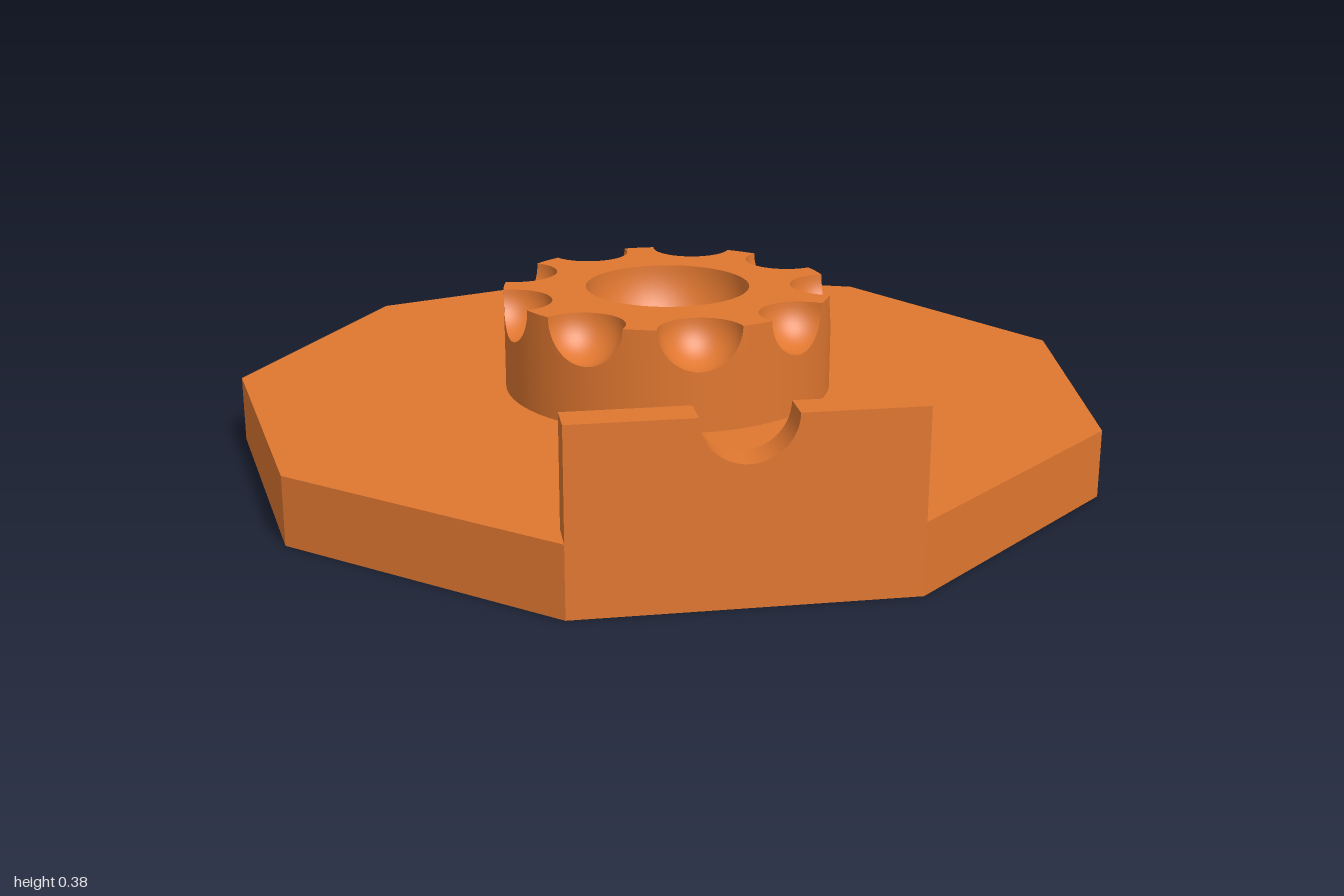
import * as THREE from 'three';
import { ParametricGeometry } from 'three/addons/geometries/ParametricGeometry.js';

const SIDES = 9, STEP = (2 * Math.PI) / SIDES;
const BASE_R = 1.01, BASE_H = 0.153, TOP = 0.385;
const HUB_R = 0.38, SCOOP_R = 0.095, BOWL_R = 0.19;
const CELLS = 12, RIM_CELLS = 6;
const BASE_TURN = THREE.MathUtils.degToRad(1.2), HUB_TURN = THREE.MathUtils.degToRad(3);

// half angle on the hub that a chord of length d spans
const chordAngle = (d) => 2 * Math.asin(d / (2 * HUB_R));

// point on a scoop: u sweeps across it, v runs from the rim down to its lowest point
function scoopPoint(u, v, target) {
  const rho = SCOOP_R * Math.cos((v * Math.PI) / 2);
  const phi = (0.5 - u) * 2 * Math.acos(rho / (2 * HUB_R));
  return target.set(rho * Math.sin(phi), TOP - SCOOP_R * Math.sin((v * Math.PI) / 2), HUB_R - rho * Math.cos(phi));
}

// upper edge of the hub's side as [angle, height], dipping at every scoop
function sideEdge() {
  const edge = [];
  const span = chordAngle(SCOOP_R);
  for (let k = 0; k < SIDES; k++) {
    for (let i = -CELLS; i <= CELLS; i++) {
      const e = (1 - Math.abs(i) / CELLS) * Math.PI / 2;
      edge.push([k * STEP + Math.sign(i) * chordAngle(SCOOP_R * Math.cos(e)), TOP - SCOOP_R * Math.sin(e)]);
    }
    for (let i = 1; i <= RIM_CELLS; i++) {
      edge.push([k * STEP + span + (STEP - 2 * span) * i / RIM_CELLS, TOP]);
    }
  }
  return edge;
}

// scalloped top face with a round opening
function hubTop() {
  const points = [], p = new THREE.Vector3(), axis = new THREE.Vector3(0, 1, 0);
  const span = chordAngle(SCOOP_R);
  for (let k = 0; k < SIDES; k++) {
    for (let i = 0; i <= 2 * CELLS; i++) {
      scoopPoint(1 - i / (2 * CELLS), 0, p).applyAxisAngle(axis, k * STEP);
      points.push(new THREE.Vector2(p.x, -p.z));
    }
    for (let i = 1; i < RIM_CELLS; i++) {
      const a = k * STEP + span + (STEP - 2 * span) * i / RIM_CELLS;
      points.push(new THREE.Vector2(HUB_R * Math.sin(a), -HUB_R * Math.cos(a)));
    }
  }
  // order the outline from left to right within each scoop
  const shape = new THREE.Shape(points);
  shape.holes.push(new THREE.Path().absarc(0, 0, BOWL_R, 0, 2 * Math.PI, true));
  return new THREE.ShapeGeometry(shape, 24).rotateX(-Math.PI / 2).translate(0, TOP, 0);
}

export function createModel() {
  const model = new THREE.Group();
  const orange = new THREE.MeshStandardMaterial({ color: 0xe07730 });
  orange.name = 'orange';
  const add = (parent, name, geometry) => {
    const mesh = new THREE.Mesh(geometry, orange);
    mesh.name = name;
    parent.add(mesh);
    return mesh;
  };

  // nine-sided base plate, flat faced
  const base = new THREE.Group();
  base.name = 'base';
  base.position.set(0.003, 0, 0.022);
  base.rotation.y = BASE_TURN;
  model.add(base);
  const plate = new THREE.CylinderGeometry(BASE_R, BASE_R, BASE_H, SIDES, 1, false, STEP / 2).toNonIndexed();
  plate.computeVertexNormals();
  add(base, 'basePlate', plate.translate(0, BASE_H / 2, 0));

  // upright panel on the front edge, with a half-round notch
  const half = BASE_R * Math.sin(STEP / 2), thick = 0.074;
  const outline = new THREE.Shape();
  outline.moveTo(-half, BASE_H);
  outline.lineTo(half, BASE_H);
  outline.lineTo(half, TOP);
  outline.lineTo(SCOOP_R, TOP);
  outline.absarc(0, TOP, SCOOP_R, 0, -Math.PI, true);
  outline.lineTo(-half, TOP);
  outline.closePath();
  const panel = new THREE.ExtrudeGeometry(outline, { depth: thick, bevelEnabled: false, curveSegments: 24 });
  add(base, 'notchedPanel', panel.translate(0, 0, BASE_R * Math.cos(STEP / 2) - thick));

  // round hub with nine scoops and a central bowl
  const hub = new THREE.Group();
  hub.name = 'hub';
  hub.position.set(0.003, 0, 0.023);
  hub.rotation.y = HUB_TURN;
  model.add(hub);

  const edge = sideEdge(), n = edge.length - 1;
  // the last rim point meets the first scoop again
  const side = new ParametricGeometry((u, v, target) => {
    const [a, y] = edge[THREE.MathUtils.clamp(Math.round(u * n), 0, n)];
    target.set(HUB_R * Math.sin(a), BASE_H + (y - BASE_H) * v, HUB_R * Math.cos(a));
  }, n, 1);
  side.computeVertexNormals();
  add(hub, 'hubSide', side);
  add(hub, 'hubTop', hubTop());

  const scoop = new ParametricGeometry(scoopPoint, 2 * CELLS, CELLS);
  scoop.computeVertexNormals();
  for (let k = 0; k < SIDES; k++) add(hub, 'scoop', scoop).rotation.y = k * STEP;

  const bowl = [];
  for (let i = 0; i <= 16; i++) {
    const e = (i / 16) * Math.PI / 2;
    bowl.push(new THREE.Vector2(BOWL_R * Math.cos(e), TOP - BOWL_R * Math.sin(e)));
  }
  add(hub, 'bowl', new THREE.LatheGeometry(bowl, 48));

  return model;
}
